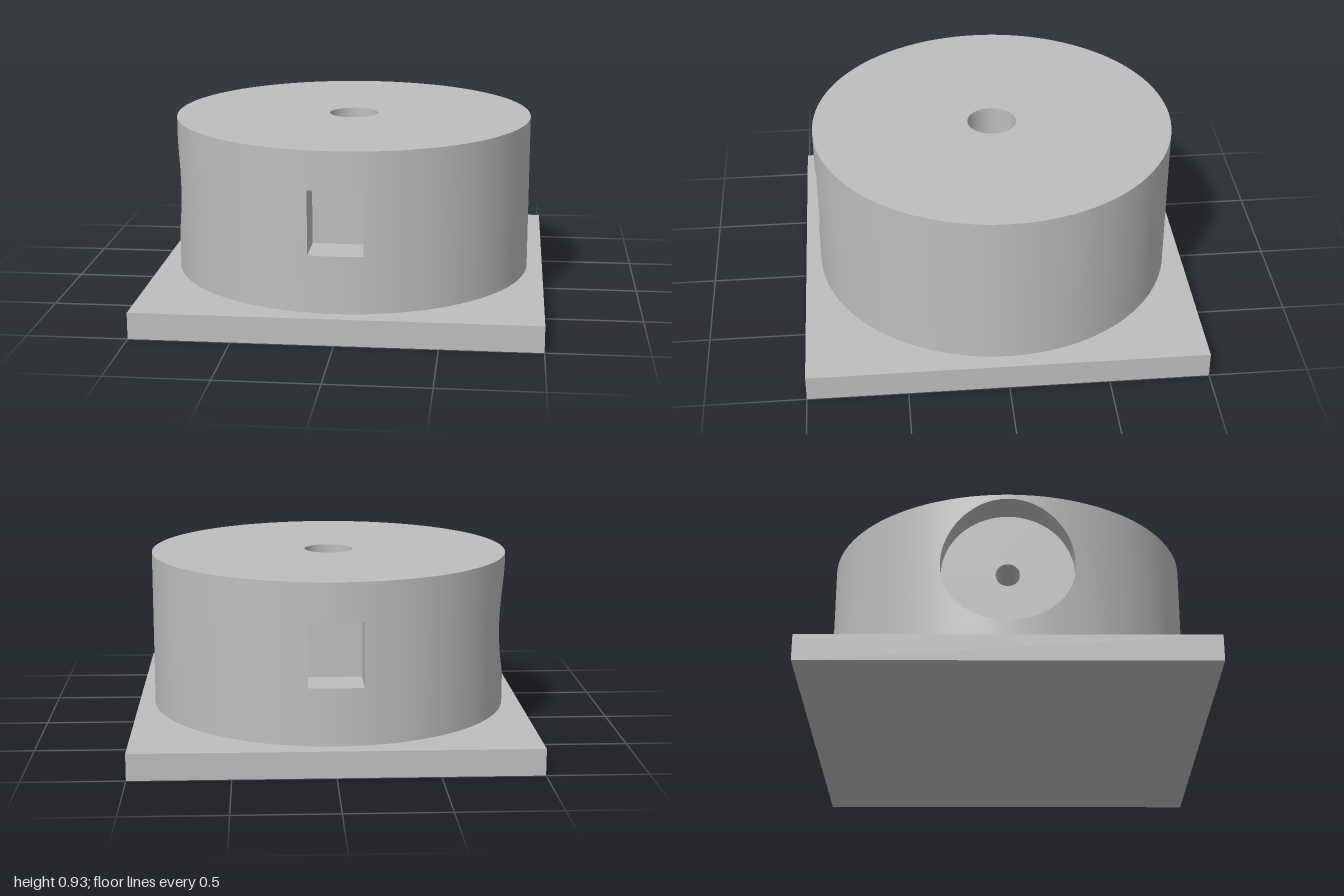
import * as THREE from 'three';
import { toCreasedNormals } from 'three/addons/utils/BufferGeometryUtils.js';

const R = 0.92, BOTTOM = 0.133, TOP = 0.933, MID = 0.58;
const BORE = 0.125, DISH = 0.33, PIN = 0.06;
const WIN_W = 0.135, WIN_H = 0.16, WIN_FLOOR = 0.70, DISH_FLOOR = 0.745;
const DISH_STEPS = 96;

// Half-height of the opening in the drum wall at angle a (0 = front, -PI/2 = right side)
function openingAt(a, columnMiddle) {
  const edge = Math.asin(WIN_W / R);
  if (Math.abs(columnMiddle) < edge || Math.abs(columnMiddle + Math.PI) < edge) return WIN_H;
  const z = R * Math.sin(a + Math.PI / 2);
  return Math.abs(columnMiddle + Math.PI / 2) < 0.5 ? Math.sqrt(Math.max(0, DISH * DISH - z * z)) : 0;
}

// Drum wall made of vertical columns, split above and below the openings
function drumWall() {
  const angles = [];
  for (let i = 0; i <= 160; i++) angles.push(-1.5 * Math.PI + (i / 160) * 2 * Math.PI);
  for (const s of [-1, 1]) {
    const e = s * Math.asin(WIN_W / R);
    angles.push(e, e - Math.PI);
  }
  for (let i = 0; i <= DISH_STEPS / 2; i++) {
    const z = DISH * Math.cos((i / DISH_STEPS) * 2 * Math.PI);
    angles.push(Math.asin(z / R) - Math.PI / 2);
  }
  angles.sort((a, b) => a - b);

  const pos = [], nor = [];
  const put = (a, y) => {
    pos.push(R * Math.sin(a), y, R * Math.cos(a));
    nor.push(Math.sin(a), 0, Math.cos(a));
  };
  const quad = (a, b, a0, a1, b0, b1) => {
    put(a, a0); put(b, b0); put(b, b1);
    put(a, a0); put(b, b1); put(a, a1);
  };
  for (let i = 0; i < angles.length - 1; i++) {
    const a = angles[i], b = angles[i + 1];
    if (b - a < 1e-6) continue;
    const ha = openingAt(a, (a + b) / 2), hb = openingAt(b, (a + b) / 2);
    quad(a, b, BOTTOM, MID - ha, BOTTOM, MID - hb);
    quad(a, b, MID + ha, TOP, MID + hb, TOP);
  }
  const g = new THREE.BufferGeometry();
  g.setAttribute('position', new THREE.Float32BufferAttribute(pos, 3));
  g.setAttribute('normal', new THREE.Float32BufferAttribute(nor, 3));
  return g;
}

// Sides of a pocket facing +z, from the curved drum surface in to a flat floor
function pocketSides(outline, floor) {
  const pos = [];
  const n = outline.length;
  for (let i = 0; i < n; i++) {
    const p = outline[i], q = outline[(i + 1) % n];
    const pz = Math.sqrt(R * R - p.x * p.x), qz = Math.sqrt(R * R - q.x * q.x);
    pos.push(p.x, p.y, pz, q.x, q.y, qz, q.x, q.y, floor);
    pos.push(p.x, p.y, pz, q.x, q.y, floor, p.x, p.y, floor);
  }
  const g = new THREE.BufferGeometry();
  g.setAttribute('position', new THREE.Float32BufferAttribute(pos, 3));
  return toCreasedNormals(g, 0.5);
}

export function createModel() {
  const model = new THREE.Group();
  model.name = 'drumOnPlate';
  const grey = new THREE.MeshStandardMaterial({ color: 0xbebebe, side: THREE.DoubleSide });
  grey.name = 'grey';
  const add = (name, geometry, parent = model) => {
    const mesh = new THREE.Mesh(geometry, grey);
    mesh.name = name;
    parent.add(mesh);
    return mesh;
  };

  const pocket = (name, outline, floor, angle, hole) => {
    const group = new THREE.Group();
    group.name = name;
    group.rotation.y = angle;
    model.add(group);
    add(name + 'Sides', pocketSides(outline, floor), group);
    const shape = new THREE.Shape(outline);
    if (hole) shape.holes.push(new THREE.Path().absarc(0, MID, hole, 0, Math.PI * 2, true));
    add(name + 'Floor', new THREE.ShapeGeometry(shape, 24).translate(0, 0, floor), group);
    return group;
  };

  // Square base plate
  add('basePlate', new THREE.BoxGeometry(2, BOTTOM, 2).translate(0, BOTTOM / 2, 0));

  // Drum with a central bore
  add('drumWall', drumWall());
  add('drumTop', new THREE.RingGeometry(BORE, R, 160).rotateX(-Math.PI / 2).translate(0, TOP, 0));
  add('centreBore', new THREE.CylinderGeometry(BORE, BORE, TOP - BOTTOM, 48, 1, true)
    .translate(0, (TOP + BOTTOM) / 2, 0));

  // Rectangular pockets at front and back, finely divided along the curved edges
  const rect = [];
  for (let i = 0; i <= 8; i++) rect.push(new THREE.Vector2(-WIN_W + (i / 8) * 2 * WIN_W, MID - WIN_H));
  for (let i = 0; i <= 8; i++) rect.push(new THREE.Vector2(WIN_W - (i / 8) * 2 * WIN_W, MID + WIN_H));
  pocket('frontPocket', rect, WIN_FLOOR, 0);
  pocket('backPocket', rect, WIN_FLOOR, Math.PI);

  // Round recess on the -x side with a small pin hole running to the bore
  const circle = [];
  for (let i = 0; i < DISH_STEPS; i++) {
    const t = (i / DISH_STEPS) * Math.PI * 2;
    circle.push(new THREE.Vector2(DISH * Math.cos(t), MID + DISH * Math.sin(t)));
  }
  const recess = pocket('roundRecess', circle, DISH_FLOOR, -Math.PI / 2, PIN);
  add('pinHole', new THREE.CylinderGeometry(PIN, PIN, DISH_FLOOR - BORE, 48, 1, true)
    .rotateX(Math.PI / 2).translate(0, MID, (DISH_FLOOR + BORE) / 2), recess);

  return model;
}
